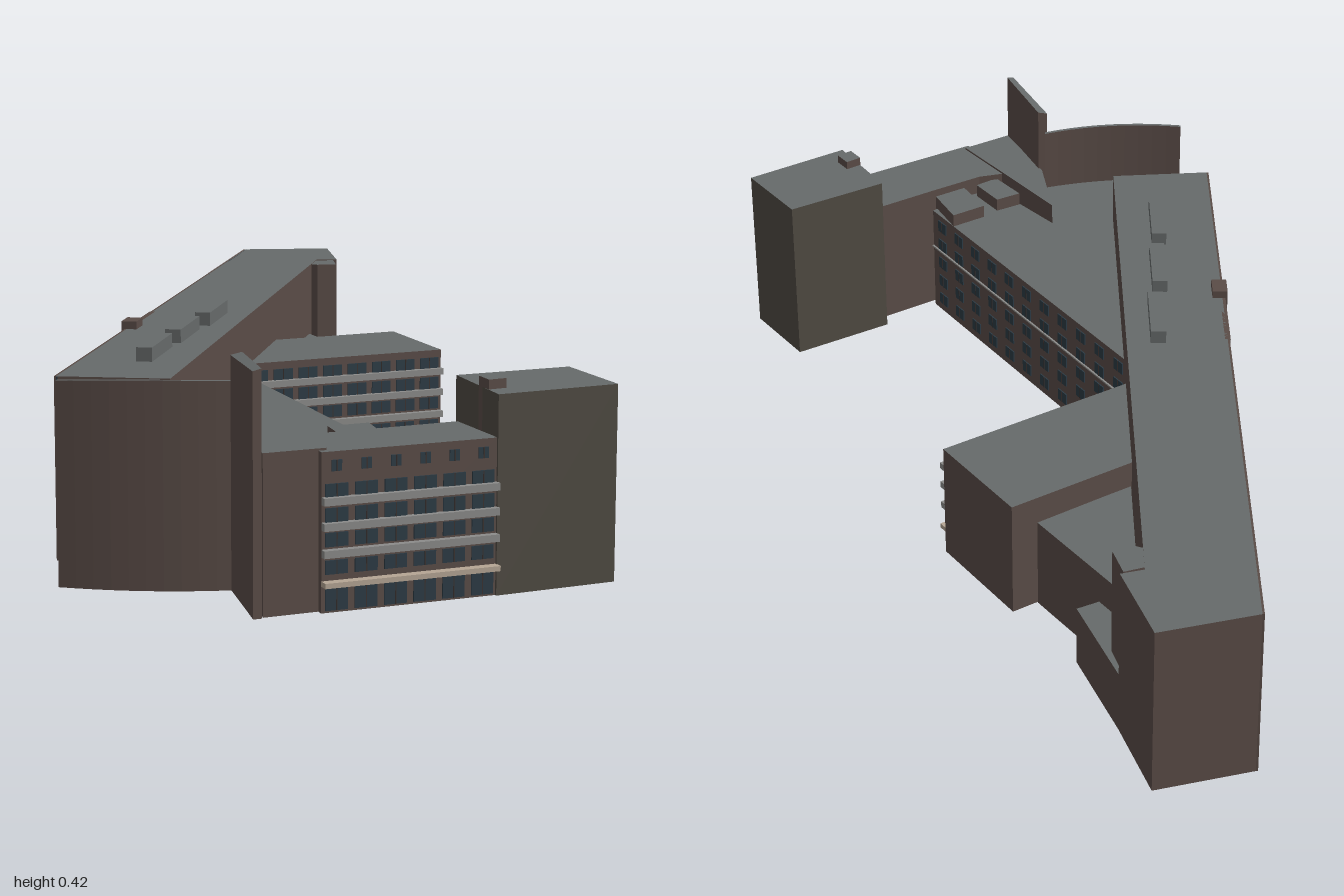
import * as THREE from 'three';

const mat = (color) => new THREE.MeshStandardMaterial({ color, side: THREE.DoubleSide, flatShading: true });
const brown = mat(0x5a4c47), olive = mat(0x4f4a42), roofGrey = mat(0x666a6a);
const glass = mat(0x2c3b45), frame = mat(0x3a3230), ledgeGrey = mat(0x8c8c8a), tan = mat(0xb5a594);

// Walls and roof over a plan outline of [x, z] points (anticlockwise seen from above), open below.
// top may be a number or a function of x; the wall along edge "skip" is left out.
function block(name, pts, top, { y0 = 0, wall = brown, roof = roofGrey, skip = -1 } = {}) {
  const g = new THREE.Group();
  g.name = name;
  const h = typeof top === 'function' ? top : () => top;
  const pos = [];
  pts.forEach(([ax, az], i) => {
    if (i === skip) return;
    const [bx, bz] = pts[(i + 1) % pts.length];
    const a0 = [ax, y0, az], b0 = [bx, y0, bz], b1 = [bx, h(bx), bz], a1 = [ax, h(ax), az];
    pos.push(...a0, ...b0, ...b1, ...a0, ...b1, ...a1);
  });
  const walls = new THREE.BufferGeometry();
  walls.setAttribute('position', new THREE.Float32BufferAttribute(pos, 3));
  walls.computeVertexNormals();
  const wallMesh = new THREE.Mesh(walls, wall);
  wallMesh.name = name + 'Walls';

  const cap = new THREE.ShapeGeometry(new THREE.Shape(pts.map(([x, z]) => new THREE.Vector2(x, -z))));
  cap.rotateX(-Math.PI / 2);
  const p = cap.attributes.position;
  for (let i = 0; i < p.count; i++) p.setY(i, h(p.getX(i)));
  const roofMesh = new THREE.Mesh(cap, roof);
  roofMesh.name = name + 'Roof';
  g.add(wallMesh, roofMesh);
  return g;
}

// A group whose x axis runs along a wall from a to b and whose z axis points out of it.
function facade(name, a, b) {
  const g = new THREE.Group();
  g.name = name;
  g.position.set(a[0], 0, a[1]);
  g.rotation.y = Math.atan2(a[1] - b[1], b[0] - a[0]);
  g.userData.length = Math.hypot(b[0] - a[0], b[1] - a[1]);
  return g;
}

// Box given by its extents along x, y and z.
function slab(g, name, material, x0, x1, y0, y1, z0, z1) {
  const m = new THREE.Mesh(new THREE.BoxGeometry(x1 - x0, y1 - y0, z1 - z0), material);
  m.position.set((x0 + x1) / 2, (y0 + y1) / 2, (z0 + z1) / 2);
  m.name = name;
  g.add(m);
}

// Window with a central bar
function pane(g, x, w, y0, y1) {
  slab(g, 'window', glass, x - w / 2, x + w / 2, y0, y1, 0.0005, 0.003);
  slab(g, 'windowBar', frame, x - 0.001, x + 0.001, y0, y1, 0.001, 0.004);
}

// Street front: rows of wide windows with projecting ledges between the floors
function streetFront(name, a, b, bays, attic) {
  const g = facade(name, a, b), L = g.userData.length, step = L / bays;
  const rows = [[0.004, 0.043], [0.066, 0.09], [0.113, 0.137], [0.155, 0.179], [0.197, 0.22]];
  for (let i = 0; i < bays; i++) {
    const x = (i + 0.5) * step;
    for (const [y0, y1] of rows) pane(g, x, step * 0.76, y0, y1);
    if (attic) pane(g, x, step * 0.34, 0.241, 0.26);
  }
  slab(g, 'canopy', tan, 0, L, 0.046, 0.055, 0, 0.018);
  for (const y of [0.096, 0.142, 0.185]) slab(g, 'ledge', ledgeGrey, 0, L, y, y + 0.013, 0, 0.013);
  return g;
}

export function createModel() {
  const model = new THREE.Group();
  model.name = 'buildingComplex';

  // Long main building; its west wall is the glazed front below
  const west = [[-0.045, -1], [-0.48, 0.58]];
  model.add(block('mainBuilding',
    [...west, [-0.28, 0.62], [0.105, -0.82], [0.15, -0.82], [0.145, -1]], 0.335, { skip: 0 }));

  // Glazed west front with solid bands, stair strip and mullions
  const curtain = facade('glazedFront', ...west), L = curtain.userData.length;
  slab(curtain, 'glazing', glass, 0, L, 0, 0.335, -0.003, 0);
  slab(curtain, 'baseBand', brown, 0, L, 0, 0.045, 0, 0.004);
  slab(curtain, 'topBand', brown, 0, L, 0.32, 0.335, 0, 0.004);
  slab(curtain, 'endPier', brown, 0, L * 0.035, 0, 0.335, 0, 0.004);
  slab(curtain, 'endPier', brown, L * 0.985, L, 0, 0.335, 0, 0.004);
  slab(curtain, 'stairStrip', brown, L * 0.56, L * 0.685, 0, 0.335, -0.005, 0.006);
  slab(curtain, 'stairHead', brown, L * 0.66, L * 0.69, 0.3, 0.35, -0.02, 0.01);
  for (const [s, e, n] of [[0.035, 0.56, 18], [0.685, 0.985, 10]]) {
    for (let i = 1; i < n; i++) {
      const x = L * (s + ((e - s) * i) / n);
      slab(curtain, 'mullion', frame, x - 0.005, x + 0.005, 0.045, 0.32, 0, 0.003);
    }
    for (let f = 1; f < 6; f++) {
      const y = 0.045 + f * 0.046;
      slab(curtain, 'floorLine', frame, L * s, L * e, y - 0.003, y + 0.003, 0, 0.002);
    }
  }
  model.add(curtain);

  // Three rooftop plant boxes in line with the main building
  for (const [x, z] of [[-0.175, -0.015], [-0.24, 0.178], [-0.3, 0.37]]) {
    const plant = new THREE.Mesh(new THREE.BoxGeometry(0.03, 0.027, 0.16), roofGrey);
    plant.position.set(x, 0.3475, z);
    plant.rotation.y = -0.269;
    plant.name = 'roofPlant';
    model.add(plant);
  }

  // Wedge-shaped wing with a grid of windows on the courtyard side
  const apex = [-0.125, 0.02], heel = [0.09, 0.76];
  model.add(block('wedgeWing',
    [apex, [-0.28, 0.62], [-0.145, 0.63], [-0.1, 0.74], [-0.03, 0.82], heel], 0.235));
  const grid = facade('wedgeWindows', heel, apex), gl = grid.userData.length;
  for (let c = 0; c < 11; c++)
    for (let r = 0; r < 5; r++)
      pane(grid, (gl * (c + 0.6)) / 11, 0.032, 0.018 + r * 0.045, 0.043 + r * 0.045);
  slab(grid, 'sillLine', ledgeGrey, 0, gl, 0.147, 0.15, 0, 0.004);
  model.add(grid);

  // Hall with a curved screen wall rising above its roof
  const curve = new THREE.QuadraticBezierCurve(
    new THREE.Vector2(-0.48, 0.765), new THREE.Vector2(-0.33, 0.82), new THREE.Vector2(-0.18, 0.81));
  const arc = curve.getPoints(10).map((p) => [p.x, p.y]);
  model.add(block('hall', [[-0.44, 0.588], ...arc, [-0.145, 0.63], [-0.28, 0.62]], 0.232));
  const inner = arc.map(([x, z]) => [x + 0.002, z - 0.008]).reverse();
  model.add(block('hallScreen', [...arc, ...inner], (x) => 0.367 - 0.15 * (x + 0.3) ** 2));

  // Tall fin and the stair block beside it
  model.add(block('fin', [[-0.185, 0.81], [-0.16, 1], [-0.145, 0.995], [-0.165, 0.81]],
    (x) => 0.41 + 0.25 * (x + 0.185)));
  model.add(block('stairBlock', [[-0.17, 0.8], [-0.143, 0.99], [-0.035, 0.955], [-0.145, 0.63]], 0.278));

  // Front wing, its roof structures and street front
  const fl = [-0.045, 0.972], fr = [0.262, 0.877];
  model.add(block('frontWing', [[-0.09, 0.815], fl, fr, [0.213, 0.735], [0.08, 0.78], [-0.03, 0.815]], 0.274));
  model.add(block('wingRoofRoom', [[-0.01, 0.70], [0.01, 0.795], [0.08, 0.772], [0.065, 0.675]], 0.262, { y0: 0.23 }));
  model.add(block('wingRoofRoom', [[-0.1, 0.735], [-0.07, 0.82], [-0.02, 0.80], [-0.045, 0.72]], 0.262, { y0: 0.23 }));
  model.add(streetFront('frontWingFacade', fl, fr, 6, true));

  // Corner tower with a small roof room
  model.add(block('cornerTower', [[0.215, 0.7], [0.262, 0.882], [0.48, 0.805], [0.425, 0.635]], 0.349, { wall: olive }));
  model.add(block('towerRoofRoom', [[0.24, 0.8], [0.252, 0.838], [0.284, 0.825], [0.272, 0.787]], 0.366, { y0: 0.27 }));

  // Courtyard wing with its street front
  const cl = [-0.105, -0.06], cr = [0.307, -0.195];
  model.add(block('courtyardWing', [[-0.025, -0.34], cl, cr, [0.235, -0.425]], 0.235));
  model.add(streetFront('courtyardWingFacade', cl, cr, 8, false));

  // Low link, rear annex and service shaft
  model.add(block('lowLink', [[0.08, -0.72], [-0.022, -0.34], [0.182, -0.41]], 0.182));
  model.add(block('rearAnnex', [[0.105, -0.82], [0.08, -0.72], [0.118, -0.6], [0.165, -0.61], [0.15, -0.82]], 0.12));
  model.add(block('serviceShaft', [[0.075, -0.81], [0.075, -0.765], [0.1, -0.745], [0.142, -0.75], [0.142, -0.815]], 0.334));

  return model;
}
